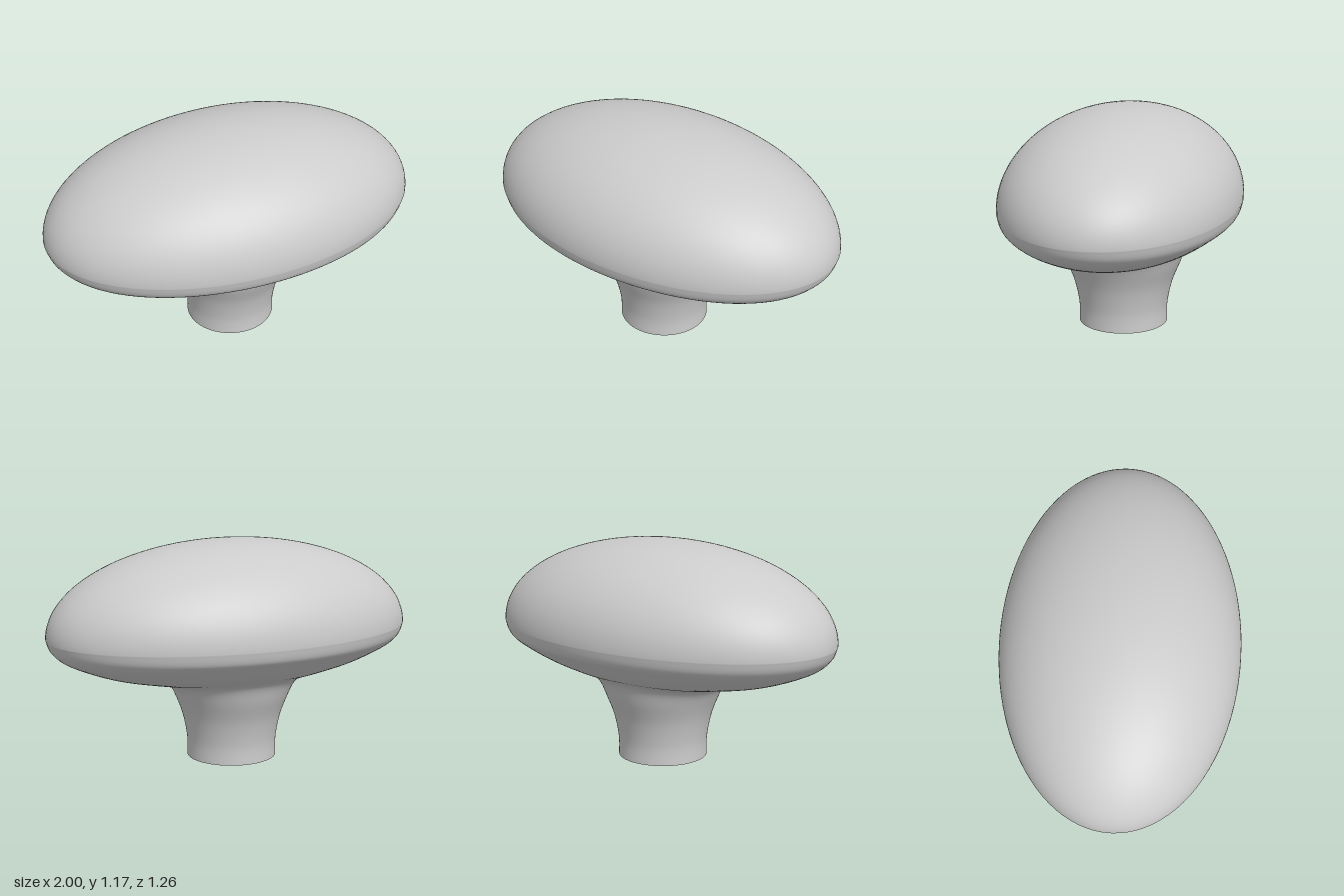
import * as THREE from 'three';

const SEG = 96;
const material = new THREE.MeshStandardMaterial({ color: 0xcccccc, roughness: 0.6 });
const spline = (pts) => new THREE.SplineCurve(pts.map(([r, y]) => new THREE.Vector2(r, y)));

// Underside and stem, rim to foot, along the long (x) and short (z) axes
const longSide = spline([[1, 0.69], [0.975, 0.63], [0.9, 0.57], [0.71, 0.495], [0.5, 0.448], [0.38, 0.425],
  [0.335, 0.395], [0.3, 0.33], [0.262, 0.225], [0.239, 0.1], [0.238, 0]]);
const shortSide = spline([[0.632, 0.69], [0.615, 0.63], [0.57, 0.59], [0.5, 0.535], [0.435, 0.493], [0.375, 0.463],
  [0.34, 0.425], [0.308, 0.34], [0.264, 0.225], [0.239, 0.1], [0.238, 0]]);

// Each ring: half width and height on x, half width and height on z
function knobRings() {
  const rings = [];
  const domeSteps = 32, lowerSteps = 80;
  for (let i = 0; i < domeSteps; i++) {
    const a = (i / domeSteps) * Math.PI / 2;
    const y = 0.69 + 0.477 * Math.cos(a);
    rings.push([Math.sin(a), y, 0.632 * Math.sin(a), y]);
  }
  for (let i = 0; i <= lowerSteps; i++) {
    const p = longSide.getPoint(i / lowerSteps), q = shortSide.getPoint(i / lowerSteps);
    rings.push([p.x, p.y, q.x, q.y]);
  }
  return rings;
}

// Joins closed rings whose height blends between the two axes
function loft(rings) {
  const positions = [], index = [];
  rings.forEach(([rx, yx, rz, yz], i) => {
    for (let j = 0; j < SEG; j++) {
      const a = (j / SEG) * Math.PI * 2;
      const c = Math.cos(a), s = Math.sin(a);
      positions.push(rx * c, yx * c * c + yz * s * s, rz * s);
      if (i === rings.length - 1) continue;
      const k = (j + 1) % SEG;
      const p = i * SEG + j, q = i * SEG + k;
      if (i > 0) index.push(p, q, p + SEG);
      index.push(q, q + SEG, p + SEG);
    }
  });
  const geometry = new THREE.BufferGeometry();
  geometry.setAttribute('position', new THREE.Float32BufferAttribute(positions, 3));
  geometry.setIndex(index);
  geometry.computeVertexNormals();
  // Pole vertices share a straight-up normal
  for (let j = 0; j < SEG; j++) geometry.attributes.normal.setXYZ(j, 0, 1, 0);
  return geometry;
}

export function createModel() {
  const group = new THREE.Group();
  group.name = 'ovalKnob';
  const add = (name, geometry, mat = material) => {
    const mesh = new THREE.Mesh(geometry, mat);
    mesh.name = name;
    group.add(mesh);
    return mesh;
  };

  // Oval head flowing into the round stem
  add('headAndStem', loft(knobRings()));

  // Flat foot with a blind screw hole
  const holeRadius = 0.11, holeDepth = 0.5;
  add('footRing', new THREE.RingGeometry(holeRadius, 0.238, SEG)).rotation.x = Math.PI / 2;

  const inside = material.clone();
  inside.side = THREE.BackSide;
  add('screwHole', new THREE.CylinderGeometry(holeRadius, holeRadius, holeDepth, 48, 1, true), inside)
    .position.y = holeDepth / 2;

  const end = add('screwHoleEnd', new THREE.CircleGeometry(holeRadius, 48));
  end.rotation.x = Math.PI / 2;
  end.position.y = holeDepth;

  return group;
}
